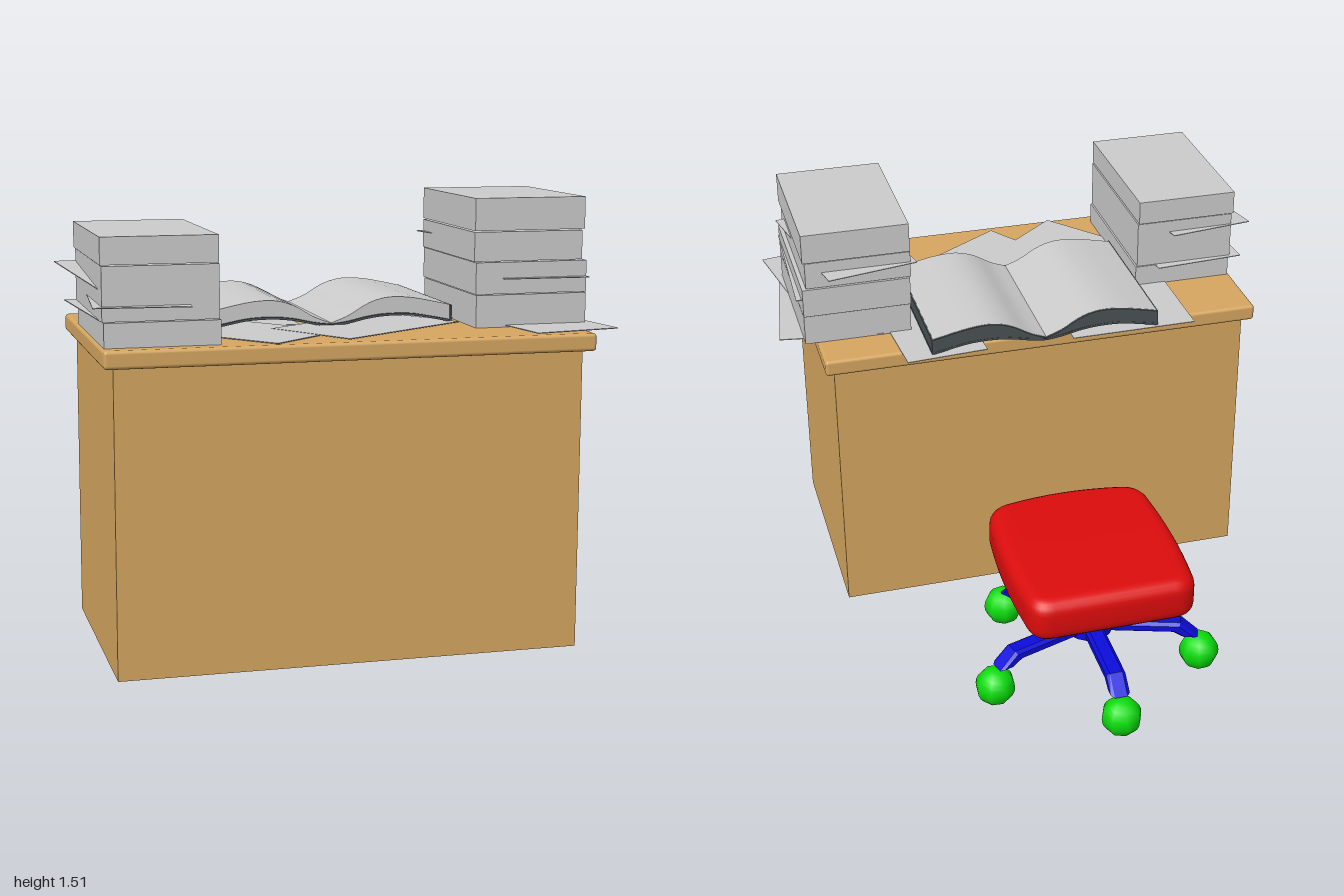
import * as THREE from 'three';
import { toCreasedNormals } from 'three/addons/utils/BufferGeometryUtils.js';
import { RoundedBoxGeometry } from 'three/addons/geometries/RoundedBoxGeometry.js';

function material(name, color) {
  const m = new THREE.MeshStandardMaterial({ color });
  m.name = name;
  return m;
}

const v2 = (p) => new THREE.Vector2(p[0], p[1]);

export function createModel() {
  const wood = material('wood', 0xd6a660);
  const paper = material('paper', 0xcbcbcb);
  const coverGrey = material('coverGrey', 0x4a5254);
  const red = material('seatRed', 0xdc0c0c);
  const blue = material('frameBlue', 0x0c0cdc);
  const green = material('wheelGreen', 0x0cdc0c);

  const model = new THREE.Group();
  model.name = 'deskAndStool';

  function group(name) {
    const g = new THREE.Group();
    g.name = name;
    model.add(g);
    return g;
  }
  function add(parent, name, geometry, mat, x = 0, y = 0, z = 0) {
    const mesh = new THREE.Mesh(geometry, mat);
    mesh.name = name;
    mesh.position.set(x, y, z);
    parent.add(mesh);
    return mesh;
  }
  // Box given by its limits on each axis
  function block(parent, name, mat, [x0, x1], [y0, y1], [z0, z1]) {
    return add(parent, name, new THREE.BoxGeometry(x1 - x0, y1 - y0, z1 - z0), mat,
      (x0 + x1) / 2, (y0 + y1) / 2, (z0 + z1) / 2);
  }
  // Thin loose sheet, turned about y in degrees, with an optional tilt
  function sheet(parent, x, y, z, w, d, turn, tilt = 0) {
    const mesh = add(parent, 'looseSheet', new THREE.BoxGeometry(w, 0.003, d), paper, x, y, z);
    mesh.rotation.set(tilt, THREE.MathUtils.degToRad(turn), 0, 'YXZ');
  }

  // Desk
  const desk = group('desk');
  block(desk, 'deskBody', wood, [-0.82, 0.75], [0, 1.03], [0.11, 0.96]);
  add(desk, 'deskTop', new RoundedBoxGeometry(1.64, 0.06, 0.93, 2, 0.012), wood, -0.035, 1.05, 0.535);

  // Loose sheets lying on the desk
  const loose = group('deskSheets');
  sheet(loose, -0.355, 1.082, 0.29, 0.47, 0.57, 0.5);
  sheet(loose, 0.37, 1.083, 0.27, 0.3, 0.55, 4);
  sheet(loose, -0.325, 1.084, 0.69, 0.35, 0.5, 40);
  sheet(loose, 0.09, 1.085, 0.66, 0.56, 0.35, 32.7);
  sheet(loose, 0.69, 1.083, 0.52, 0.38, 0.55, -8.5);
  sheet(loose, 0.68, 1.086, 0.67, 0.31, 0.6, 10);

  // Low paper stack on the right
  const lowStack = group('rightPaperStack');
  [
    [[-0.845, -0.47], [1.08, 1.16], [0.345, 0.945]],
    [[-0.85, -0.475], [1.163, 1.338], [0.345, 0.945]],
    [[-0.855, -0.478], [1.342, 1.43], [0.34, 0.95]],
  ].forEach((b) => block(lowStack, 'paperBlock', paper, ...b));
  sheet(lowStack, -0.725, 1.275, 0.61, 0.32, 0.58, 8, 0.07);
  sheet(lowStack, -0.70, 1.21, 0.67, 0.31, 0.62, -5);
  sheet(lowStack, -0.70, 1.1615, 0.61, 0.34, 0.58, 4);

  // Tall paper stack on the left
  const tallStack = group('leftPaperStack');
  [
    [[0.437, 0.83], [1.08, 1.19], [0.225, 0.785]],
    [[0.435, 0.83], [1.193, 1.3], [0.22, 0.785]],
    [[0.43, 0.815], [1.303, 1.402], [0.225, 0.78]],
    [[0.432, 0.823], [1.406, 1.515], [0.22, 0.78]],
  ].forEach((b) => block(tallStack, 'paperBlock', paper, ...b));
  sheet(tallStack, 0.628, 1.36, 0.46, 0.34, 0.56, 11);
  sheet(tallStack, 0.69, 1.245, 0.53, 0.3, 0.56, -2);

  // Open book: mirrored page profile, swept front to back
  const book = group('openBook');
  const spineX = -0.024;
  const reach = [0, 0.06, 0.13, 0.2, 0.28, 0.36, 0.422];
  const topY = [1.092, 1.115, 1.155, 1.174, 1.171, 1.156, 1.142];
  const lowY = [1.089, 1.097, 1.112, 1.119, 1.117, 1.103, 1.09];
  const curve = (ys, dy = 0) =>
    new THREE.SplineCurve(reach.map((r, i) => v2([r, ys[i] + dy]))).getPoints(20);
  function bookPart(name, upper, lower, z0, z1, mat, stretch = 1) {
    for (const side of [-1, 1]) {
      const outline = [...upper, ...[...lower].reverse()]
        .map((p) => v2([spineX + side * p.x * stretch, p.y]));
      const geo = new THREE.ExtrudeGeometry(new THREE.Shape(outline),
        { depth: z1 - z0, bevelEnabled: false });
      add(book, name, toCreasedNormals(geo, 0.6), mat, 0, 0, z0);
    }
  }
  bookPart('pages', curve(topY), curve(lowY), 0.026, 0.625, paper);
  bookPart('cover', curve(lowY), curve(lowY, -0.008), 0.018, 0.634, coverGrey, 1.015);
  bookPart('backEdge', curve(topY, -0.001), curve(lowY), 0.019, 0.026, coverGrey);
  for (const side of [-1, 1]) {
    const x = spineX + side * 0.4245;
    block(book, 'sideEdge', coverGrey, [x - 0.003, x + 0.003], [1.085, 1.141], [0.019, 0.632]);
  }

  // Stool
  const stool = group('stool');
  stool.position.set(-0.035, 0, -0.52);

  // Padded seat: plan outline with a bowed front, rounded over
  const plan = new THREE.Shape();
  plan.moveTo(-0.22, 0.32);
  plan.lineTo(0.22, 0.32);
  plan.quadraticCurveTo(0.3, 0.32, 0.302, 0.23);
  plan.quadraticCurveTo(0.325, 0, 0.302, -0.24);
  plan.quadraticCurveTo(0.3, -0.33, 0.22, -0.346);
  plan.quadraticCurveTo(0, -0.39, -0.22, -0.346);
  plan.quadraticCurveTo(-0.3, -0.33, -0.302, -0.24);
  plan.quadraticCurveTo(-0.325, 0, -0.302, 0.23);
  plan.quadraticCurveTo(-0.3, 0.32, -0.22, 0.32);
  const seatGeo = new THREE.ExtrudeGeometry(plan, {
    depth: 0.065, bevelThickness: 0.05, bevelSize: 0.05, bevelOffset: -0.045,
    bevelSegments: 5, curveSegments: 8,
  });
  // Widen slightly after rounding, then lay flat
  seatGeo.scale(1, 1, 1).rotateX(-Math.PI / 2);
  add(stool, 'seat', toCreasedNormals(seatGeo, 0.9), red, 0, 0.425, 0);

  // Column and hub
  add(stool, 'column', new THREE.CylinderGeometry(0.08, 0.08, 0.2, 16), blue, 0, 0.28, 0);
  add(stool, 'hub', new THREE.CylinderGeometry(0.087, 0.087, 0.075, 16), blue, 0, 0.203, 0);

  // Five legs with ball wheels
  const legShape = new THREE.Shape(
    [[0, 0.21], [0.335, 0.21], [0.4, 0.15], [0.35, 0.145], [0.31, 0.168], [0, 0.168]].map(v2));
  const legGeo = new THREE.ExtrudeGeometry(legShape, {
    depth: 0.046, bevelThickness: 0.012, bevelSize: 0.01, bevelOffset: -0.01, bevelSegments: 1,
  });
  legGeo.translate(0, 0, -0.023);
  const wheelGeo = new THREE.SphereGeometry(0.073, 8, 12);
  for (let i = 0; i < 5; i++) {
    const arm = new THREE.Group();
    arm.name = 'legWithWheel';
    arm.rotation.y = Math.PI / 2 + (i * 2 * Math.PI) / 5;
    add(arm, 'leg', legGeo, blue);
    add(arm, 'wheel', wheelGeo, green, 0.407, 0.073, 0);
    stool.add(arm);
  }

  return model;
}
